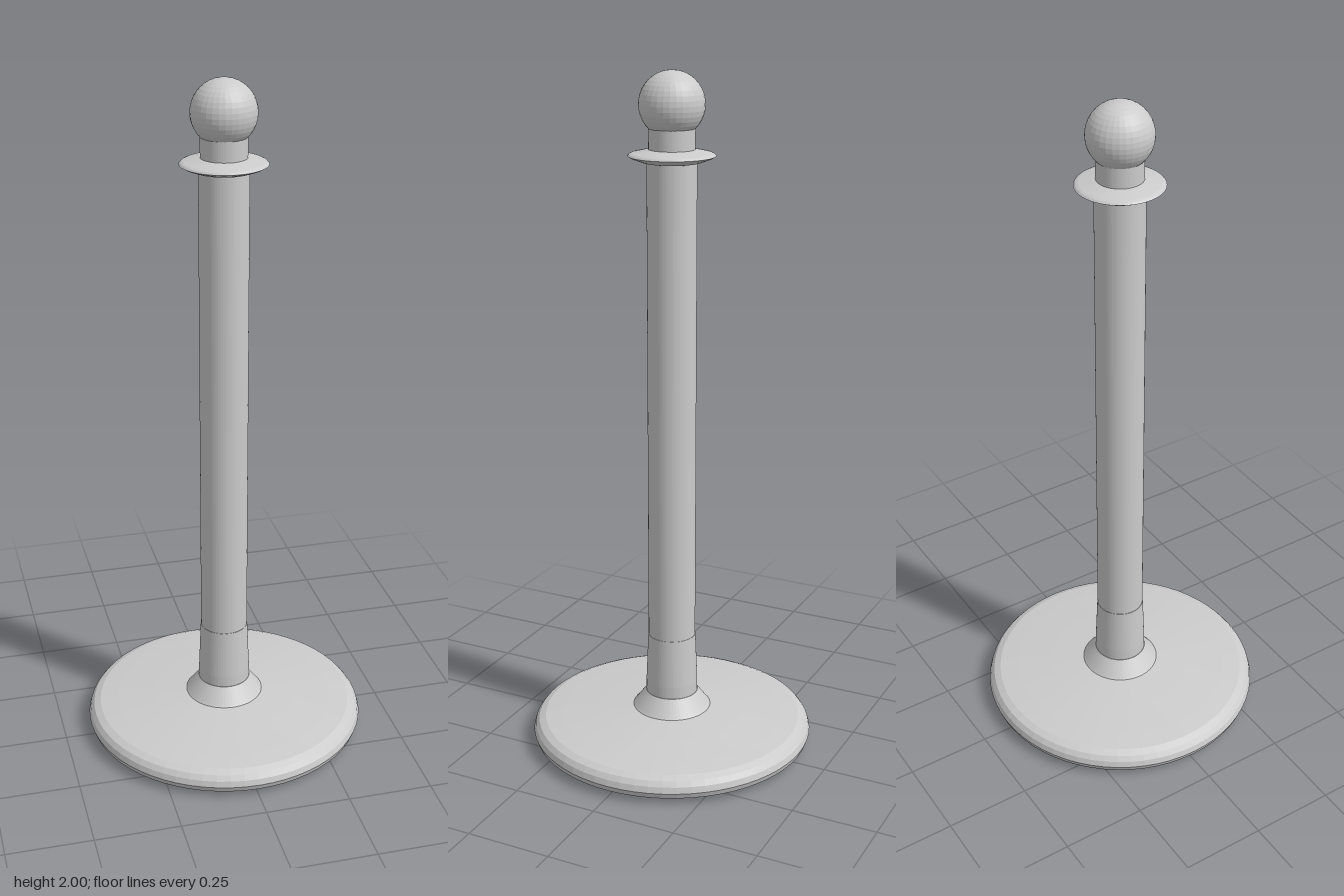
import * as THREE from 'three';

const SEGMENTS = 64;
const material = new THREE.MeshStandardMaterial({ color: 0xcccccc, flatShading: true });

// Revolves a profile of [radius, height] pairs, listed from bottom to top
function turned(name, profile, segments = SEGMENTS) {
  const points = profile.map(([r, y]) => new THREE.Vector2(r, y));
  const mesh = new THREE.Mesh(new THREE.LatheGeometry(points, segments), material);
  mesh.name = name;
  return mesh;
}

export function createModel() {
  const group = new THREE.Group();
  group.name = 'stanchionPost';

  // Weighted foot: flat underside, rounded rim, gently domed top
  group.add(turned('base', [
    [0, 0], [0.36, 0.003], [0.395, 0.008], [0.415, 0.02], [0.421, 0.037],
    [0.416, 0.055], [0.405, 0.069], [0.385, 0.078], [0.33, 0.085],
    [0.22, 0.096], [0.115, 0.105], [0, 0.107],
  ]));

  // Conical collar where the post meets the foot
  group.add(turned('collar', [[0.118, 0.103], [0.112, 0.11], [0.078, 0.155], [0, 0.155]]));

  // Slightly tapered sleeve around the foot of the post
  group.add(turned('sleeve', [[0.077, 0.15], [0.077, 0.19], [0.071, 0.34], [0.069, 0.34]]));

  // Long straight tube
  group.add(turned('post', [[0, 0.11], [0.07, 0.11], [0.07, 1.765], [0, 1.765]]));

  // Thin flange with a bevelled lip
  group.add(turned('flange', [
    [0.069, 1.75], [0.085, 1.753], [0.112, 1.763], [0.123, 1.769],
    [0.118, 1.774], [0.111, 1.777], [0.075, 1.785], [0.064, 1.787],
  ]));

  // Neck carrying the finial
  group.add(turned('neck', [[0.065, 1.76], [0.065, 1.847], [0, 1.847]]));

  // Ball finial
  const ball = new THREE.Mesh(new THREE.SphereGeometry(0.092, 32, 20), material);
  ball.name = 'ballFinial';
  ball.position.y = 1.908;
  group.add(ball);

  return group;
}
